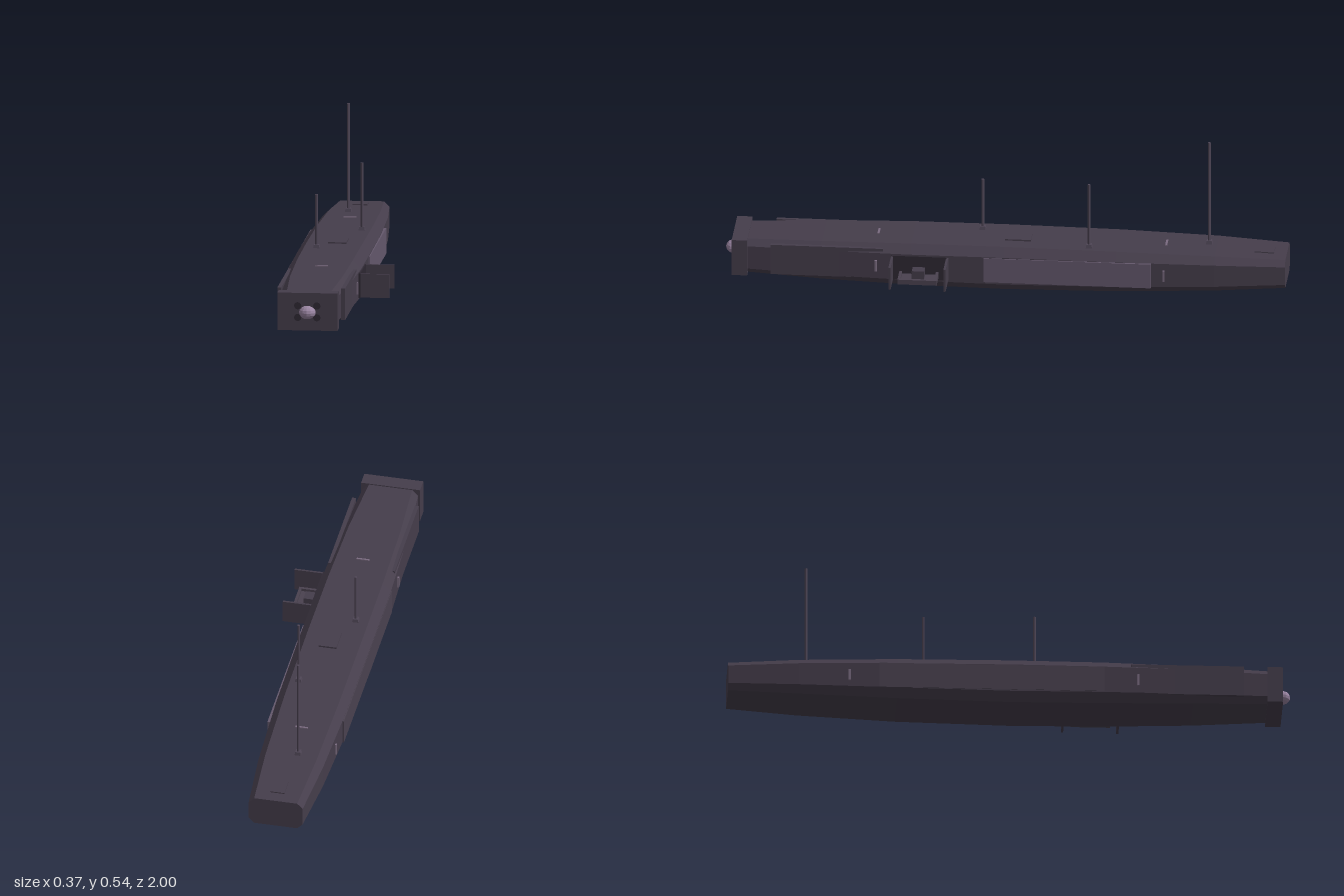
import * as THREE from 'three';

const CX = -0.052; // hull centre line

const mat = (color) => new THREE.MeshStandardMaterial({ color, flatShading: true });
const MATS = {
  hull: mat(0x453d4b),
  dark: mat(0x2e2833),
  panel: mat(0x4a4250),
  window: mat(0x64586c),
  mast: mat(0x4f4656),
  light: mat(0x7a6b80),
  lens: mat(0x9a85a2),
};

// Hull stations: z, half width, bottom y, top y, chamfer
const STATIONS = [
  [-1, 0.098, 0.035, 0.143, 0.02],
  [-0.75, 0.117, 0.021, 0.153, 0.025],
  [-0.4, 0.128, 0.007, 0.16, 0.029],
  [0, 0.13, 0, 0.163, 0.03],
  [0.33, 0.129, 0.003, 0.162, 0.03],
  [0.65, 0.119, 0.011, 0.157, 0.026],
  [0.925, 0.099, 0.021, 0.149, 0.021],
];

// Interpolated station value at a given z
function hullAt(z, k) {
  let i = 0;
  while (i < STATIONS.length - 2 && z > STATIONS[i + 1][0]) i++;
  const a = STATIONS[i], b = STATIONS[i + 1];
  return THREE.MathUtils.mapLinear(z, a[0], b[0], a[k], b[k]);
}

// Eight-sided section, counter-clockwise seen from the front
function section([z, w, lo, hi, c]) {
  return [
    [w, lo + c], [w, hi - c], [w - c, hi], [c - w, hi],
    [-w, hi - c], [-w, lo + c], [c - w, lo], [w - c, lo],
  ].map(([x, y]) => [CX + x, y, z]);
}

function hullGeometry() {
  const rings = STATIONS.map(section);
  const pos = [];
  const tri = (...pts) => pts.forEach((p) => pos.push(...p));
  for (let i = 0; i < rings.length - 1; i++) {
    for (let j = 0; j < 8; j++) {
      const k = (j + 1) % 8;
      const a = rings[i][j], b = rings[i][k], c = rings[i + 1][k], d = rings[i + 1][j];
      tri(a, b, c);
      tri(a, c, d);
    }
  }
  const first = rings[0], last = rings[rings.length - 1];
  for (let j = 1; j < 7; j++) {
    tri(last[0], last[j], last[j + 1]);
    tri(first[0], first[j + 1], first[j]);
  }
  const g = new THREE.BufferGeometry();
  g.setAttribute('position', new THREE.Float32BufferAttribute(pos, 3));
  g.computeVertexNormals();
  return g;
}

export function createModel() {
  const model = new THREE.Group();

  const add = (name, geometry, material, x = 0, y = 0, z = 0, parent = model) => {
    const m = new THREE.Mesh(geometry, material);
    m.name = name;
    m.position.set(x, y, z);
    parent.add(m);
    return m;
  };
  // Box given by its minimum and maximum on each axis
  const box = (name, material, [x0, x1], [y0, y1], [z0, z1], parent = model) =>
    add(name, new THREE.BoxGeometry(x1 - x0, y1 - y0, z1 - z0), material,
      (x0 + x1) / 2, (y0 + y1) / 2, (z0 + z1) / 2, parent);

  add('hull', hullGeometry(), MATS.hull);

  // Nose block with sensor dome and four ports
  box('noseBlock', MATS.hull, [CX - 0.107, CX + 0.107], [0.018, 0.153], [0.915, 0.97]);
  const dome = add('sensorDome', new THREE.SphereGeometry(1, 12, 8), MATS.lens, CX, 0.083, 0.97);
  dome.scale.set(0.03, 0.024, 0.03);
  for (const sx of [-1, 1]) {
    for (const sy of [-1, 1]) {
      const port = add('nosePort', new THREE.CylinderGeometry(0.013, 0.013, 0.006, 16), MATS.dark,
        CX + sx * 0.034, 0.086 + sy * 0.021, 0.97);
      port.rotation.x = Math.PI / 2;
    }
  }

  // Bow armour plates and side marker lights
  for (const s of [-1, 1]) {
    add('bowPlate', new THREE.BoxGeometry(0.014, 0.113, 0.4), MATS.hull, CX + s * 0.114, 0.09, 0.63);
    for (const z of [0.455, -0.57]) {
      add('sideLight', new THREE.BoxGeometry(0.008, 0.042, 0.008), MATS.light,
        CX + s * (hullAt(z, 1) + 0.002), 0.083, z);
    }
  }

  // Long side panels
  box('leftWindow', MATS.window, [0.06, 0.0815], [0.038, 0.13], [-0.525, 0.07]);
  box('rightPanel', MATS.panel, [-0.183, -0.165], [0.036, 0.13], [-0.465, 0.335]);

  // Deck hatches
  box('midHatch', MATS.hull, [-0.074, -0.009], [0.155, 0.168], [-0.09, 0.002]);
  const sternHatch = box('sternHatch', MATS.hull, [-0.074, -0.022], [0.139, 0.15], [-0.955, -0.885]);
  sternHatch.rotation.x = -0.04;

  // Deck marker lights
  for (const z of [0.455, -0.57]) {
    add('deckLight', new THREE.BoxGeometry(0.046, 0.006, 0.007), MATS.light, CX, hullAt(z, 3) + 0.001, z);
  }

  // Masts: x, z, tip height
  for (const [x, z, tip] of [[-0.106, 0.09, 0.355], [0.017, -0.3, 0.403], [-0.073, -0.72, 0.543]]) {
    const mast = new THREE.Group();
    mast.name = 'mast';
    const deck = hullAt(z, 3);
    const foot = add('mastFoot', new THREE.CylinderGeometry(0.013, 0.017, 0.016, 4), MATS.mast, x, deck + 0.004, z, mast);
    foot.rotation.y = Math.PI / 4;
    add('mastPole', new THREE.CylinderGeometry(0.005, 0.005, tip - deck, 8), MATS.mast, x, (tip + deck) / 2, z, mast);
    model.add(mast);
  }

  // Docking bay on the left side: door, two fins, rimmed tray and clamp
  const dock = new THREE.Group();
  dock.name = 'dockingBay';
  model.add(dock);
  box('dockDoor', MATS.dark, [0.06, 0.081], [0.038, 0.127], [0.2, 0.4], dock);
  for (const z of [0.2, 0.396]) {
    box('dockFin', MATS.hull, [0.06, 0.183], [0.04, 0.125], [z - 0.004, z + 0.004], dock);
  }
  box('dockTray', MATS.panel, [0.075, 0.16], [0.052, 0.06], [0.23, 0.37], dock);
  box('trayRim', MATS.panel, [0.15, 0.16], [0.052, 0.07], [0.23, 0.37], dock);
  for (const z of [0.23, 0.36]) {
    box('trayRim', MATS.panel, [0.075, 0.16], [0.052, 0.07], [z, z + 0.01], dock);
  }
  box('dockClamp', MATS.hull, [0.088, 0.126], [0.058, 0.09], [0.278, 0.322], dock);

  return model;
}
